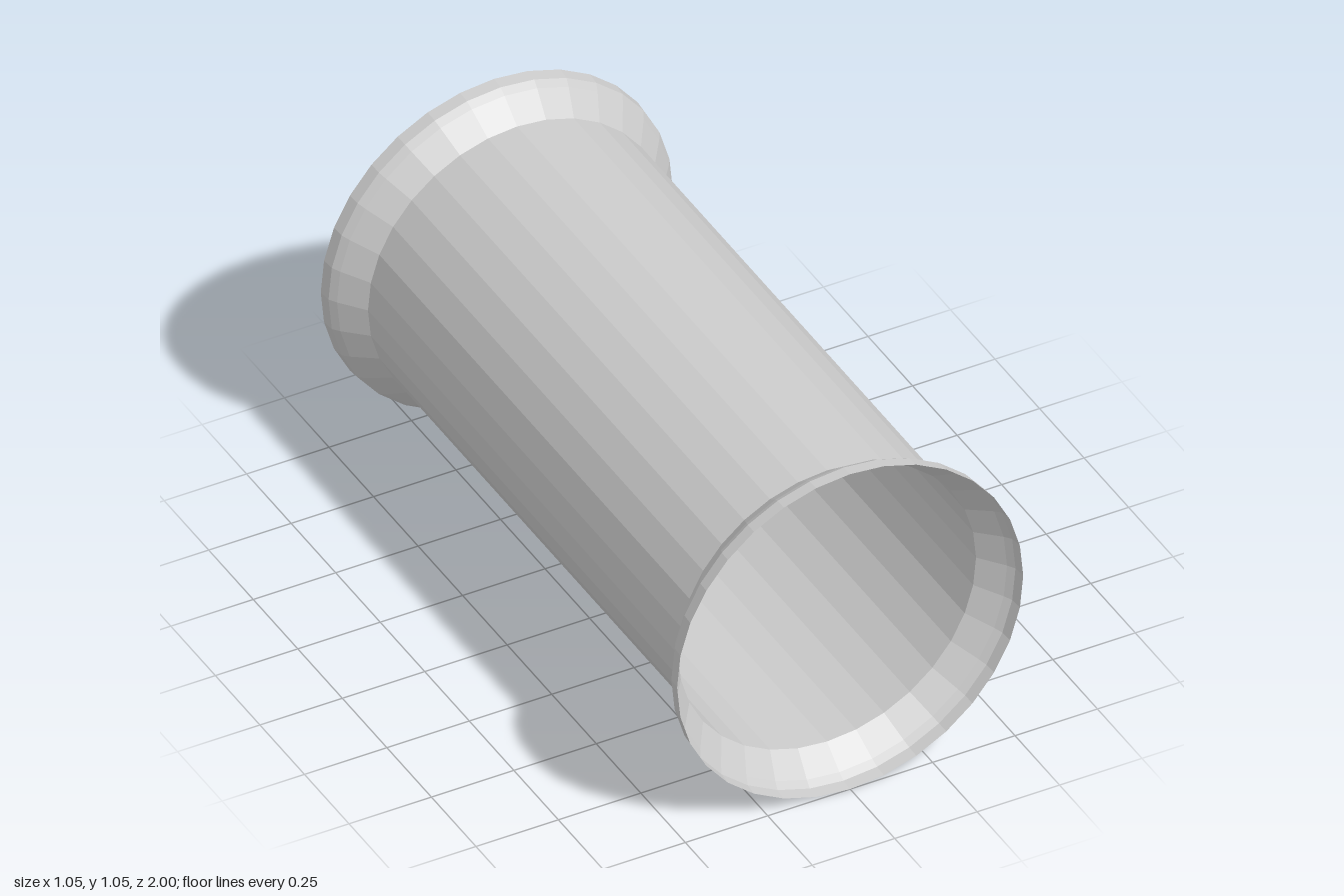
import * as THREE from 'three';

const SIDES = 32;
const CENTRE_Y = 0.525;

export function createModel() {
  const model = new THREE.Group();
  model.name = 'flaredPipe';
  const material = new THREE.MeshStandardMaterial({
    color: 0xcccccc, flatShading: true, side: THREE.DoubleSide,
  });

  // Thin shell turned around the z axis from [radius, z] pairs
  function addShell(name, profile) {
    const points = profile.map(([r, z]) => new THREE.Vector2(r, z));
    const geometry = new THREE.LatheGeometry(points, SIDES);
    geometry.rotateX(Math.PI / 2);
    const mesh = new THREE.Mesh(geometry, material);
    mesh.name = name;
    mesh.position.y = CENTRE_Y;
    model.add(mesh);
  }

  // Straight open barrel
  addShell('barrel', [[0.452, -0.87], [0.452, 0.87]]);

  // Flared collar at each end, mirrored
  const flare = [[0.452, 0.87], [0.468, 0.89], [0.508, 0.94], [0.522, 0.962], [0.525, 1]];
  addShell('frontFlare', flare);
  addShell('backFlare', flare.map(([r, z]) => [r, -z]).reverse());

  return model;
}
